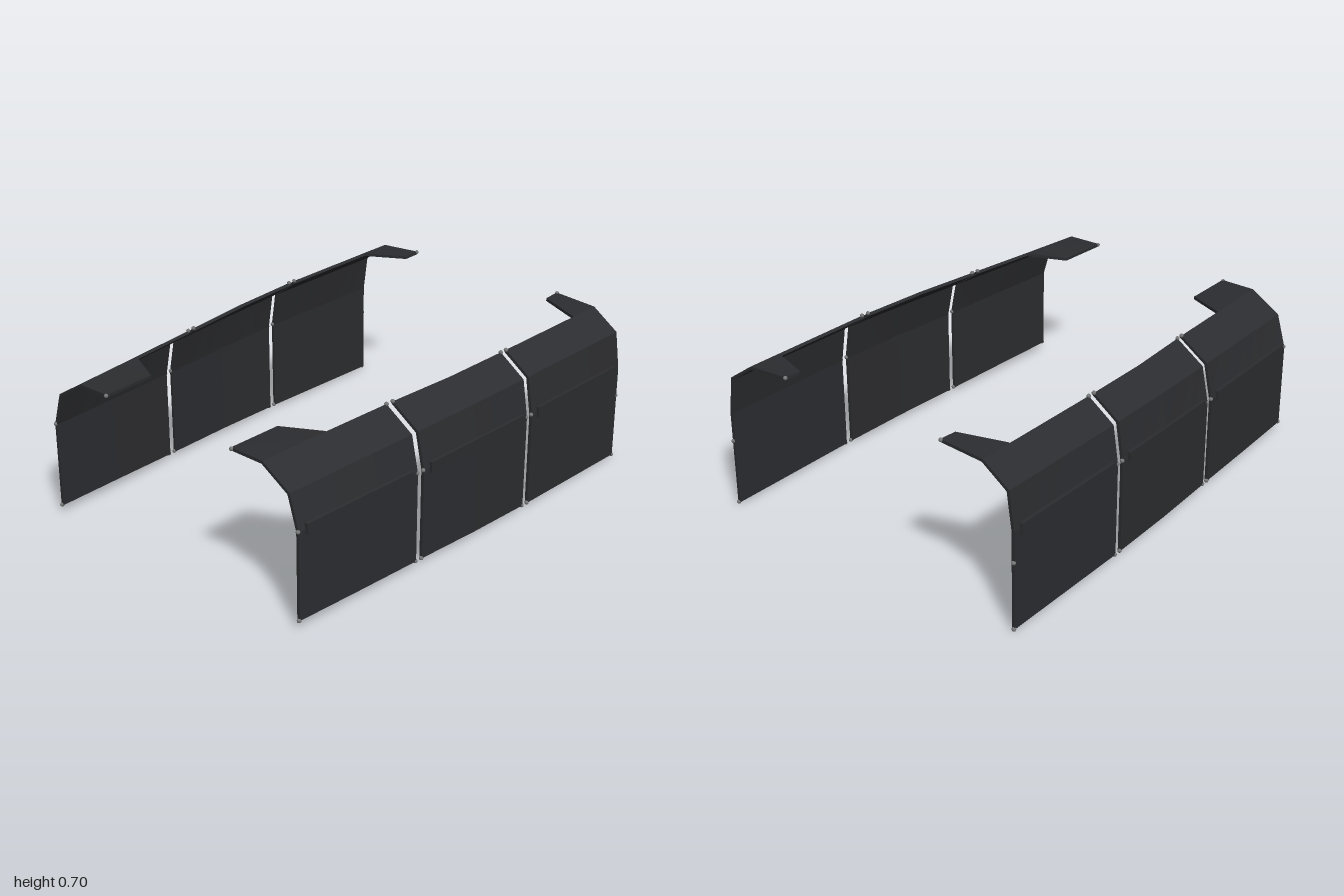
import * as THREE from 'three';

const dark = new THREE.MeshStandardMaterial({ color: 0x2c2d30, flatShading: true });
const metal = new THREE.MeshStandardMaterial({ color: 0x777777 });
const THICK = 0.013;

// Outer profile along the length: z, side x, bottom y, bend y, shoulder x/y, roof edge x/y
const KEYS = [
  [0.99, 0.683, 0.04, 0.415, 0.64, 0.56, 0.505, 0.645],
  [0.67, 0.7, 0.035, 0.418, 0.66, 0.568, 0.527, 0.655],
  [0.35, 0.715, 0.03, 0.42, 0.682, 0.576, 0.552, 0.665],
  [0, 0.734, 0.025, 0.425, 0.703, 0.586, 0.584, 0.673],
  [-0.33, 0.743, 0.02, 0.43, 0.717, 0.594, 0.597, 0.68],
  [-0.99, 0.745, 0.01, 0.43, 0.722, 0.597, 0.6, 0.683],
];

function profile(z) {
  let i = 0;
  while (i < KEYS.length - 2 && z < KEYS[i + 1][0]) i++;
  const a = KEYS[i], b = KEYS[i + 1];
  const t = (z - a[0]) / (b[0] - a[0]);
  const [, x, yb, ym, sx, sy, rx, ry] = a.map((v, k) => v + (b[k] - v) * t);
  return [[x, yb], [x, ym], [sx, sy], [rx, ry]];
}

// Inner line of a polyline, offset by the shell thickness with mitred bends
function inset(pts) {
  const normals = pts.slice(1).map((p, i) => {
    const dx = p[0] - pts[i][0], dy = p[1] - pts[i][1], l = Math.hypot(dx, dy);
    return [dy / l, -dx / l];
  });
  return pts.map((p, i) => {
    const a = normals[Math.max(i - 1, 0)], b = normals[Math.min(i, normals.length - 1)];
    const k = THICK / (1 + a[0] * b[0] + a[1] * b[1]);
    return [p[0] - (a[0] + b[0]) * k, p[1] - (a[1] + b[1]) * k];
  });
}

// Solid sheet lofted through sections { z, pts }, listed from front to back
function shell(name, sections) {
  const n = sections[0].pts.length, m = n * 2, pos = [], idx = [];
  for (const { z, pts } of sections) {
    for (const p of [...pts, ...inset(pts).reverse()]) pos.push(p[0], p[1], z);
  }
  for (let s = 0; s < sections.length - 1; s++) {
    for (let j = 0; j < m; j++) {
      const a = s * m + j, b = s * m + (j + 1) % m, c = a + m, d = b + m;
      idx.push(a, c, b, b, c, d);
    }
  }
  const last = (sections.length - 1) * m;
  for (let i = 0; i < n - 1; i++) {
    const o = i, p = i + 1, q = m - 1 - i, r = m - 2 - i;
    idx.push(o, p, q, p, r, q);
    idx.push(last + o, last + q, last + p, last + p, last + q, last + r);
  }
  const g = new THREE.BufferGeometry();
  g.setAttribute('position', new THREE.Float32BufferAttribute(pos, 3));
  g.setIndex(idx);
  const flat = g.toNonIndexed();
  flat.computeVertexNormals();
  const mesh = new THREE.Mesh(flat, dark);
  mesh.name = name;
  return mesh;
}

// Raised strip running along the bend of a panel
function strip(z0, z1) {
  const a = profile(z0)[1], b = profile(z1)[1];
  const from = new THREE.Vector3(a[0], a[1] + 0.002, z0);
  const to = new THREE.Vector3(b[0], b[1] + 0.002, z1);
  const mesh = new THREE.Mesh(new THREE.BoxGeometry(0.02, 0.046, from.distanceTo(to)), dark);
  mesh.position.copy(from).lerp(to, 0.5);
  mesh.lookAt(from);
  mesh.name = 'raisedStrip';
  return mesh;
}

const studGeometry = new THREE.SphereGeometry(0.009, 10, 8);
function stud(x, y, z) {
  const mesh = new THREE.Mesh(studGeometry, metal);
  mesh.position.set(x, y, z);
  mesh.name = 'edgeStud';
  return mesh;
}

// Roof tab: rows of z, tip x, tip y, joined to the roof edge
function tab(name, rows) {
  return shell(name, rows.map(([z, x, y]) => ({ z, pts: [profile(z)[3], [x, y]] })));
}

function createSide(name) {
  const side = new THREE.Group();
  side.name = name;
  const panels = [['frontPanel', 0.99, 0.352], ['middlePanel', 0.318, -0.318], ['rearPanel', -0.352, -0.99]];
  for (const [label, z0, z1] of panels) {
    const panel = new THREE.Group();
    panel.name = label;
    const sections = [];
    for (let i = 0; i <= 6; i++) {
      const z = z0 + (z1 - z0) * i / 6;
      sections.push({ z, pts: profile(z) });
    }
    panel.add(shell('bentSheet', sections), strip(z0 - 0.035, z1 + 0.035));
    // Studs at the bottom, bend and roof corner of both ends
    for (const z of [z0, z1]) {
      const [b, m, , r] = profile(z);
      const tip = z === 0.99 ? [0.348, 0.642] : z === -0.99 ? [0.402, 0.694] : r;
      panel.add(stud(b[0] - 0.004, b[1], z), stud(m[0] - 0.004, z === -0.99 ? 0.3 : m[1], z), stud(tip[0], tip[1], z));
    }
    side.add(panel);
  }
  side.add(
    tab('frontRoofTab', [[0.99, 0.345, 0.647], [0.75, 0.352, 0.65], [0.67, 0.522, 0.655]]),
    tab('rearRoofTab', [[-0.835, 0.595, 0.683], [-0.91, 0.402, 0.694], [-0.99, 0.4, 0.697]]),
  );
  return side;
}

export function createModel() {
  const model = new THREE.Group();
  model.name = 'sidePanels';
  const left = createSide('leftSide');
  const right = createSide('rightSide');
  right.scale.x = -1;
  model.add(left, right);
  return model;
}
